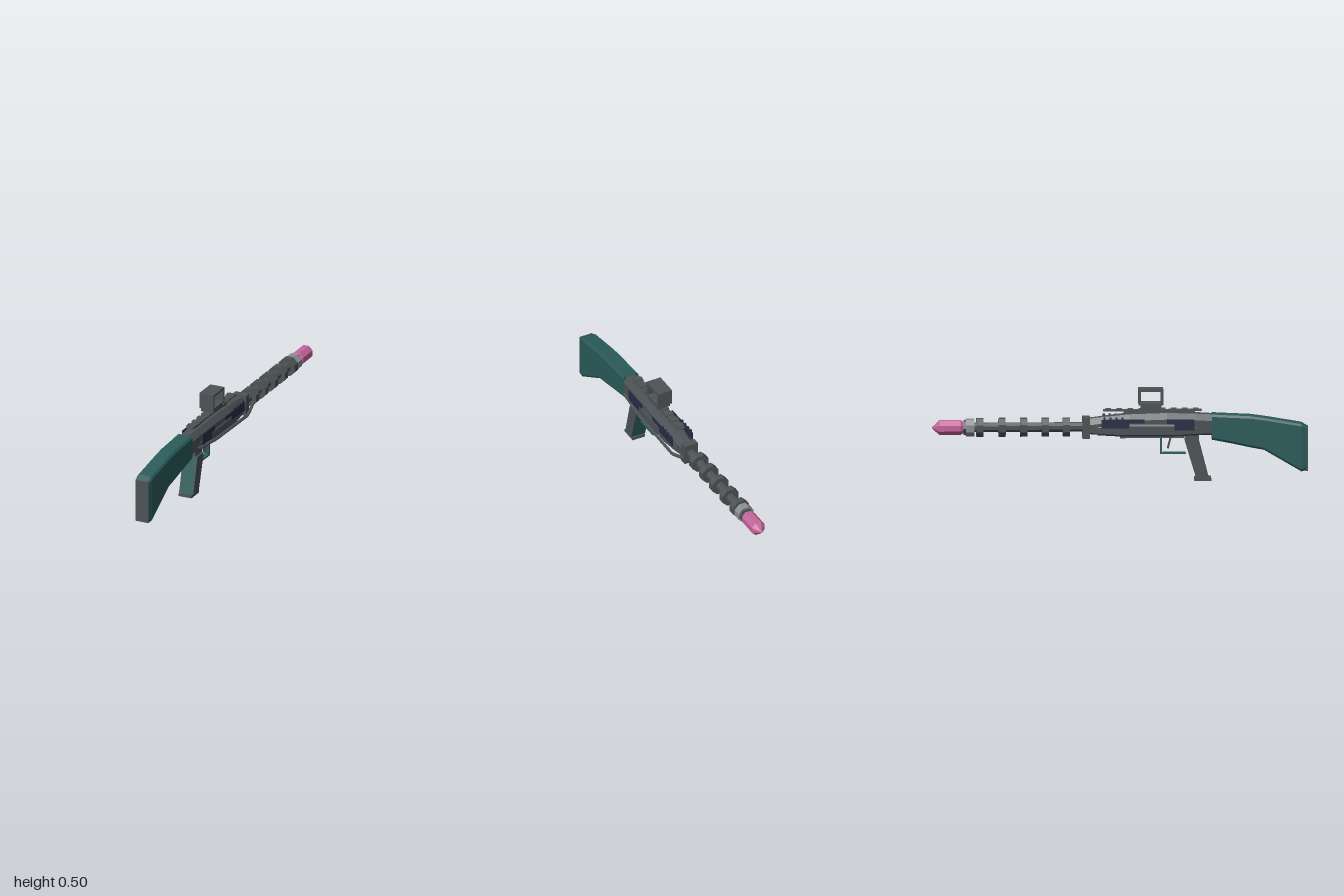
import * as THREE from 'three';

const CX = -0.01; // the body axis sits slightly off centre
const AXIS = 0.29; // barrel height

const paint = (name, color) => {
  const m = new THREE.MeshStandardMaterial({ color, flatShading: true });
  m.name = name;
  return m;
};

// Skin with flat ends through rings of [x, y, z] points, running from +z to -z
function skin(rings) {
  const n = rings[0].length, pos = [], idx = [];
  rings.forEach(r => r.forEach(p => pos.push(...p)));
  for (let i = 0; i < rings.length - 1; i++)
    for (let j = 0; j < n; j++) {
      const k = (j + 1) % n, a = i * n, b = a + n;
      idx.push(a + j, b + j, b + k, a + j, b + k, a + k);
    }
  const last = (rings.length - 1) * n;
  for (let j = 1; j < n - 1; j++) {
    idx.push(0, j, j + 1);
    idx.push(last, last + j + 1, last + j);
  }
  const g = new THREE.BufferGeometry();
  g.setAttribute('position', new THREE.Float32BufferAttribute(pos, 3));
  g.setIndex(idx);
  const flat = g.toNonIndexed();
  flat.computeVertexNormals();
  return flat;
}

// Chamfered section, counter-clockwise seen from +z
function section([z, w, bottom, top], cx, cyTop, cyBottom) {
  return [
    [w - cx, bottom], [w, bottom + cyBottom], [w, top - cyTop], [w - cx, top],
    [cx - w, top], [-w, top - cyTop], [-w, bottom + cyBottom], [cx - w, bottom],
  ].map(([x, y]) => [x + CX, y, z]);
}

export function createModel() {
  const teal = paint('teal', 0x2a5c5a);
  const grey = paint('gunmetal', 0x4d5356);
  const navy = paint('navy', 0x282d47);
  const pink = paint('pink', 0xc4669b);
  const silver = paint('silver', 0x8a9093);
  const model = new THREE.Group();
  model.name = 'toyRifle';

  const add = (name, geometry, material) => {
    const mesh = new THREE.Mesh(geometry, material);
    mesh.name = name;
    model.add(mesh);
    return mesh;
  };
  // Box given by its x, y and z ranges
  const box = (name, mat, x0, x1, y0, y1, z0, z1) => {
    const mesh = add(name, new THREE.BoxGeometry(x1 - x0, y1 - y0, z1 - z0), mat);
    mesh.position.set((x0 + x1) / 2, (y0 + y1) / 2, (z0 + z1) / 2);
    return mesh;
  };
  // Ring or rod along the barrel axis
  const rod = (name, mat, r0, r1, z0, z1, sides = 8) => {
    const g = new THREE.CylinderGeometry(r0, r1, Math.abs(z1 - z0), sides);
    g.rotateY(Math.PI / sides).rotateX(-Math.PI / 2);
    const mesh = add(name, g, mat);
    mesh.position.set(CX, AXIS, (z0 + z1) / 2);
    return mesh;
  };
  const loft = (name, mat, stations, cx, cyTop, cyBottom) =>
    add(name, skin(stations.map(s => section(s, cx, cyTop, cyBottom))), mat);

  // Stock and butt plate
  loft('stock', teal, [
    [0.995, 0.04, 0.06, 0.288], [0.965, 0.045, 0.05, 0.306], [0.765, 0.045, 0.168, 0.34],
    [0.69, 0.045, 0.182, 0.35], [0.6, 0.045, 0.202, 0.354], [0.488, 0.045, 0.224, 0.36],
  ], 0.008, 0.012, 0.012);
  box('buttPlate', grey, -0.048, 0.028, 0.053, 0.288, 0.985, 1);

  // Receiver with sloping shoulders, and the wider lower housing
  loft('receiver', grey, [
    [0.49, 0.044, 0.248, 0.358], [0.4, 0.048, 0.248, 0.363], [0.25, 0.052, 0.248, 0.368],
    [0.05, 0.052, 0.248, 0.362], [-0.08, 0.045, 0.25, 0.348], [-0.2, 0.036, 0.255, 0.333],
  ], 0.022, 0.032, 0.01);
  loft('lowerHousing', grey, [
    [0.45, 0.044, 0.25, 0.31], [0.33, 0.057, 0.245, 0.325],
    [0, 0.057, 0.245, 0.325], [-0.12, 0.044, 0.25, 0.315],
  ], 0.012, 0.025, 0.01);
  box('bottomPlate', grey, -0.052, 0.032, 0.235, 0.25, 0, 0.34);

  // Navy side plates, some with teeth along the top
  for (const s of [-1, 1]) {
    const plate = (name, z0, z1, y0, y1) => {
      const x = CX + s * 0.0595;
      box(name, navy, x - 0.003, x + 0.003, y0, y1, z0, z1);
    };
    plate('rearSidePlate', 0.29, 0.395, 0.278, 0.338);
    plate('rearSidePlateTab', 0.25, 0.29, 0.312, 0.338);
    plate('frontSidePlate', -0.1, 0.05, 0.292, 0.338);
    plate('frontSidePlateTab', 0.05, 0.13, 0.318, 0.338);
    for (let i = 0; i < 4; i++) {
      const z = -0.09 + i * 0.032;
      plate('sidePlateTooth', z, z + 0.012, 0.338, 0.35);
    }
  }

  // Barrel, collar and rings
  box('barrelCollar', grey, CX - 0.04, CX + 0.04, 0.232, 0.345, -0.2, -0.16);
  rod('barrel', grey, 0.026, 0.026, -0.18, -0.83);
  for (const z of [-0.285, -0.397, -0.512, -0.627, -0.745])
    rod('barrelRing', grey, 0.052, 0.052, z + 0.019, z - 0.019);
  rod('muzzleRing', silver, 0.048, 0.048, -0.775, -0.82);
  rod('muzzleNut', grey, 0.042, 0.042, -0.82, -0.832, 6);

  // Pink muzzle tip
  rod('tipBase', pink, 0.041, 0.03, -0.832, -0.848);
  rod('tip', pink, 0.041, 0.041, -0.848, -0.96);
  rod('tipCone', pink, 0.003, 0.041, -0.96, -1);

  // Top rail with slats
  box('railBase', grey, CX - 0.014, CX + 0.014, 0.345, 0.377, 0.02, 0.4);
  box('rail', grey, CX - 0.02, CX + 0.02, 0.376, 0.382, -0.09, 0.435);
  for (let i = 0; i < 9; i++) {
    const z = -0.075 + i * 0.058;
    box('railSlat', grey, CX - 0.024, CX + 0.024, 0.378, 0.387, z, z + 0.028);
  }

  // Square sight, open from side to side
  box('sightNeck', grey, CX - 0.02, CX + 0.02, 0.38, 0.392, 0.12, 0.21);
  box('sightBase', grey, CX - 0.037, CX + 0.037, 0.389, 0.413, 0.11, 0.22);
  const frame = new THREE.Shape([[-0.23, 0.412], [-0.098, 0.412], [-0.098, 0.497], [-0.23, 0.497]]
    .map(p => new THREE.Vector2(...p)));
  frame.holes.push(new THREE.Path([[-0.217, 0.42], [-0.217, 0.485], [-0.111, 0.485], [-0.111, 0.42]]
    .map(p => new THREE.Vector2(...p))));
  const frameGeo = new THREE.ExtrudeGeometry(frame, { depth: 0.084, bevelEnabled: false });
  add('sightFrame', frameGeo.rotateY(Math.PI / 2), grey).position.x = CX - 0.042;

  // Slanted grip: teal core, grey side panels and foot
  const slab = (name, mat, pts, x0, x1) => {
    const shape = new THREE.Shape(pts.map(([z, y]) => new THREE.Vector2(-z, y)));
    const g = new THREE.ExtrudeGeometry(shape, { depth: x1 - x0, bevelEnabled: false });
    return add(name, g.rotateY(Math.PI / 2), mat).position.x = x0;
  };
  const gripSide = [[0.472, 0.014], [0.405, 0.014], [0.345, 0.215], [0.42, 0.215]];
  slab('grip', teal, gripSide, CX - 0.037, CX + 0.037);
  for (const s of [-1, 1])
    slab('gripPanel', grey, gripSide, CX + s * 0.039 - 0.003, CX + s * 0.039 + 0.003);
  box('gripFoot', grey, -0.047, 0.028, 0, 0.016, 0.395, 0.485);
  box('gripMount', grey, CX - 0.03, CX + 0.03, 0.213, 0.25, 0.345, 0.42);

  // Trigger and guard
  box('guardBar', teal, CX - 0.014, CX + 0.014, 0.143, 0.151, 0.214, 0.35);
  box('guardPost', teal, CX - 0.014, CX + 0.014, 0.143, 0.24, 0.214, 0.224);
  const trigger = box('trigger', grey, CX - 0.006, CX + 0.006, 0.172, 0.24, 0.258, 0.268);
  trigger.rotation.x = 0.25;

  // Bent rod along the left side
  const bends = [[0.048, 0.275, 0.45], [0.06, 0.262, 0.25], [0.063, 0.26, -0.12], [0.045, 0.29, -0.22]]
    .map(p => new THREE.Vector3(...p));
  const path = new THREE.CurvePath();
  for (let i = 0; i < bends.length - 1; i++) path.add(new THREE.LineCurve3(bends[i], bends[i + 1]));
  add('sideRod', new THREE.TubeGeometry(path, 24, 0.009, 6), grey);

  return model;
}
